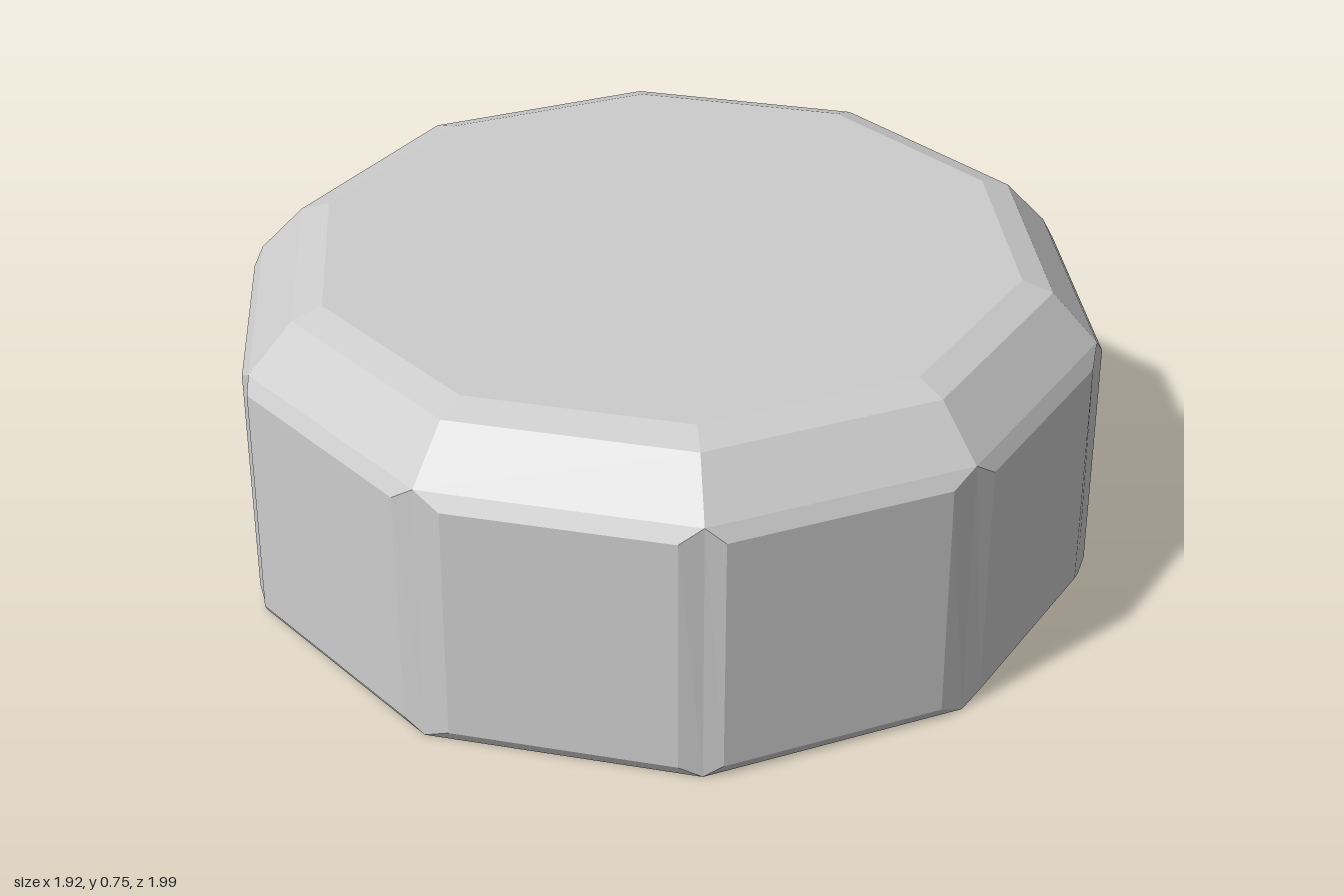
import * as THREE from 'three';

const SIDES = 10;

// Point on a ring corner; corner 0 faces the front
function corner(i, r, y) {
  const a = (i / SIDES) * Math.PI * 2;
  return new THREE.Vector3(Math.sin(a) * r, y, Math.cos(a) * r);
}

// Flat-shaded surface from convex polygons with counter-clockwise corners
function facets(name, polygons, material) {
  const pos = [];
  for (const p of polygons) {
    for (let k = 1; k < p.length - 1; k++) {
      for (const v of [p[0], p[k], p[k + 1]]) pos.push(v.x, v.y, v.z);
    }
  }
  const g = new THREE.BufferGeometry();
  g.setAttribute('position', new THREE.Float32BufferAttribute(pos, 3));
  g.computeVertexNormals();
  const mesh = new THREE.Mesh(g, material);
  mesh.name = name;
  return mesh;
}

export function createModel() {
  const group = new THREE.Group();
  group.name = 'facetedDrum';
  const grey = new THREE.MeshStandardMaterial({ color: 0xcccccc });
  grey.name = 'light grey';

  // Corner rings: radius, height
  const base = [0.99, 0], shoulder = [0.985, 0.62], bevel = [0.88, 0.732], rim = [0.81, 0.755];

  // Uneven margins beside each raised side panel: start, end
  const margins = [
    [0.06, 0.05], [0.04, 0.06], [0.05, 0.06], [0.025, 0.03], [0.02, 0.05],
    [0.02, 0.05], [0.02, 0.045], [0.015, 0.05], [0.03, 0.06], [0.02, 0.05],
  ];

  const panels = [], borders = [], bevels = [], top = [], bottom = [];
  for (let i = 0; i < SIDES; i++) {
    const at = (ring, k) => corner(k, ...ring);
    const bl = at(base, i), br = at(base, i + 1);
    const tl = at(shoulder, i), tr = at(shoulder, i + 1);

    // Raised panel, set slightly outward from the wall
    const along = br.clone().sub(bl).normalize();
    const out = corner(i + 0.5, 1, 0);
    const raise = (p, shift, d, y) =>
      p.clone().addScaledVector(along, shift).addScaledVector(out, d).setY(y);
    const [s, e] = margins[i];
    const pbl = raise(bl, s, 0.017, 0.028), pbr = raise(br, -e, 0.017, 0.028);
    const ptl = raise(tl, s, 0.02, 0.585), ptr = raise(tr, -e, 0.02, 0.585);
    panels.push([pbl, pbr, ptr, ptl]);

    // Sloping border around the panel
    borders.push([bl, br, pbr, pbl], [br, tr, ptr, pbr], [tr, tl, ptl, ptr], [tl, bl, pbl, ptl]);

    // Two-step bevel up to the flat top
    for (const [lo, hi] of [[shoulder, bevel], [bevel, rim]]) {
      bevels.push([at(lo, i), at(lo, i + 1), at(hi, i + 1), at(hi, i)]);
    }
    top.push(at(rim, i));
    bottom.unshift(bl);
  }

  group.add(
    facets('sidePanels', panels, grey),
    facets('panelBorders', borders, grey),
    facets('topBevel', bevels, grey),
    facets('topFace', [top], grey),
    facets('bottomFace', [bottom], grey),
  );
  return group;
}
